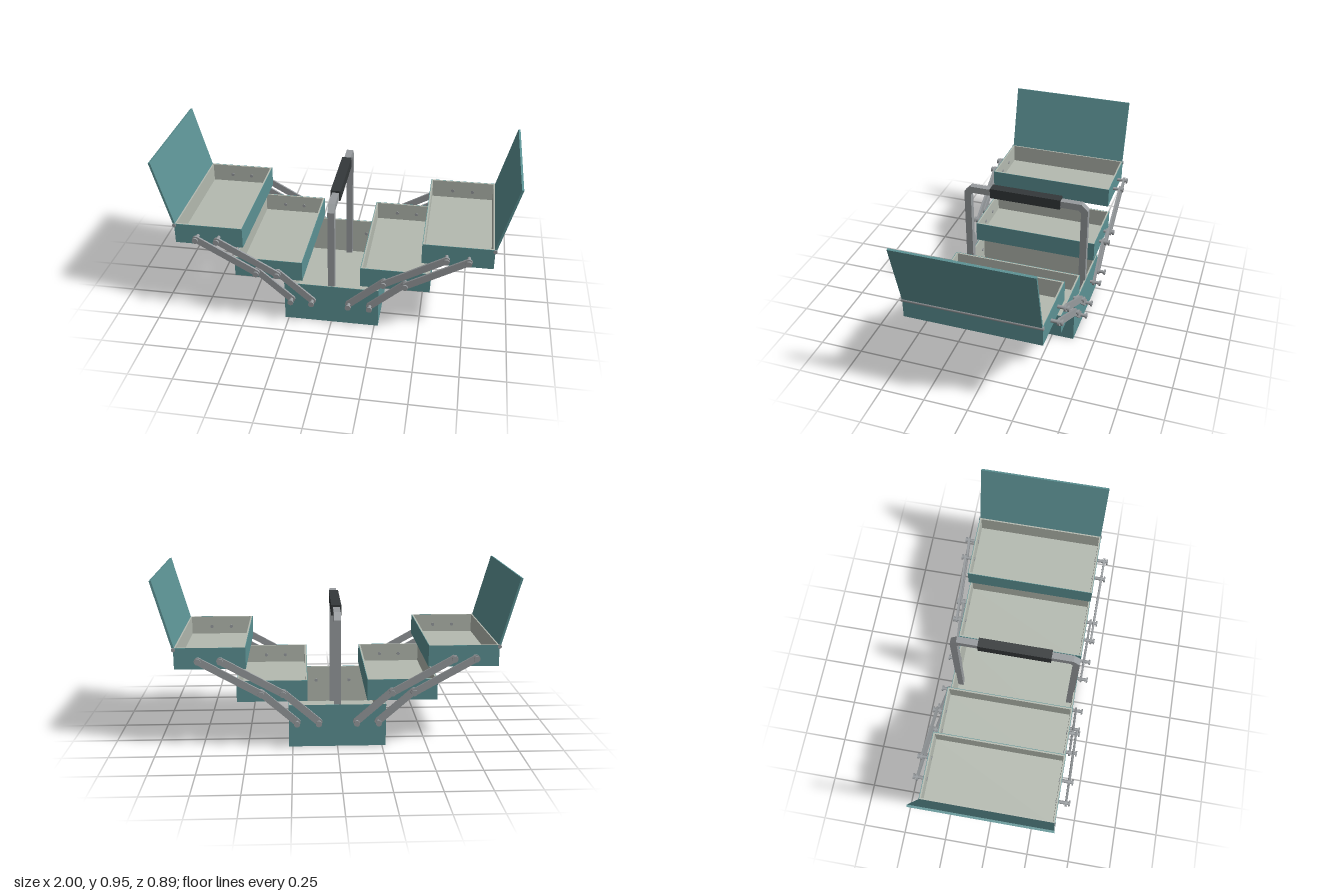
import * as THREE from 'three';

const mat = (color) => new THREE.MeshStandardMaterial({ color });
const teal = mat(0x5c9294);
const lining = mat(0xb4bab0);
const steel = mat(0x979b9e);
const rubber = mat(0x34383a);

const DEPTH = 0.756; // front-to-back size of every tray
const WALL = 0.012;

function add(parent, name, geometry, material, x = 0, y = 0, z = 0) {
  const mesh = new THREE.Mesh(geometry, material);
  mesh.name = name;
  mesh.position.set(x, y, z);
  parent.add(mesh);
  return mesh;
}

// Rectangular ring standing on y = 0
function ring(w, d, t, h) {
  const rect = (P, a, b) => new P().moveTo(-a, -b).lineTo(a, -b).lineTo(a, b).lineTo(-a, b).closePath();
  const shape = rect(THREE.Shape, w / 2, d / 2);
  shape.holes.push(rect(THREE.Path, w / 2 - t, d / 2 - t));
  return new THREE.ExtrudeGeometry(shape, { depth: h, bevelEnabled: false }).rotateX(-Math.PI / 2);
}

// Open tray: painted shell outside, pale lining and rim inside
function tray(name, x, y, w, h) {
  const g = new THREE.Group();
  g.name = name;
  g.position.set(x, y, 0);
  const skin = 0.003;
  add(g, 'shell', ring(w, DEPTH, skin, h), teal);
  add(g, 'bottom', new THREE.BoxGeometry(w - 2 * skin, 0.006, DEPTH - 2 * skin), teal, 0, 0.003);
  add(g, 'lining', ring(w - 2 * skin, DEPTH - 2 * skin, WALL - skin, h - 0.006), lining, 0, 0.006);
  add(g, 'floor', new THREE.BoxGeometry(w - 2 * WALL, 0.006, DEPTH - 2 * WALL), lining, 0, 0.009);
  return g;
}

// Flat link bar with rounded ends between two pivots
function link(a, b, sx) {
  const r = 0.02, t = 0.012;
  const dx = (b[0] - a[0]) * sx, dy = b[1] - a[1];
  const len = Math.hypot(dx, dy);
  const shape = new THREE.Shape();
  shape.absarc(0, 0, r, Math.PI / 2, Math.PI * 1.5, false);
  shape.absarc(len, 0, r, -Math.PI / 2, Math.PI / 2, false);
  return new THREE.ExtrudeGeometry(shape, { depth: t, bevelEnabled: false, curveSegments: 10 })
    .translate(0, 0, -t / 2)
    .rotateZ(Math.atan2(dy, dx))
    .translate(a[0] * sx, a[1], 0);
}

// Lidded tray pairs, hinges and linkages for one side
function wing(sx) {
  const g = new THREE.Group();
  g.name = sx > 0 ? 'leftWing' : 'rightWing';
  g.add(tray('middleTray', sx * 0.36, 0.267, 0.39, 0.12));
  g.add(tray('upperTray', sx * 0.695, 0.457, 0.39, 0.12));

  // Open lid leaning outward
  const foot = [0.891, 0.572], tip = [0.994, 0.947];
  const lid = add(g, 'lid',
    new THREE.BoxGeometry(0.012, Math.hypot(tip[0] - foot[0], tip[1] - foot[1]), 0.75), teal,
    sx * (foot[0] + tip[0]) / 2, (foot[1] + tip[1]) / 2);
  lid.rotation.z = -sx * Math.atan2(tip[0] - foot[0], tip[1] - foot[1]);
  add(g, 'hingeRod', new THREE.CylinderGeometry(0.011, 0.011, 0.764, 16).rotateX(Math.PI / 2), steel,
    sx * 0.89, 0.567);

  // Two parallel linkages on the front and on the back
  for (const sz of [1, -1]) {
    for (const shift of [0, 0.12]) {
      const pivots = [[0.105 + shift, 0.153], [0.3 + shift, 0.325], [0.635 + shift, 0.514]];
      add(g, 'lowerLink', link(pivots[0], pivots[1], sx), steel, 0, 0, sz * 0.4);
      add(g, 'upperLink', link(pivots[1], pivots[2], sx), steel, 0, 0, sz * 0.42);
      for (const [px, py] of pivots) {
        add(g, 'pivotPin', new THREE.CylinderGeometry(0.01, 0.01, 0.078, 16).rotateX(Math.PI / 2), steel,
          sx * px, py, sz * 0.401);
        add(g, 'pinHead', new THREE.CylinderGeometry(0.017, 0.017, 0.009, 16).rotateX(Math.PI / 2), steel,
          sx * px, py, sz * 0.4385);
      }
    }
  }
  return g;
}

// Square-bar handle with chamfered corners and a rubber grip
function handle() {
  const g = new THREE.Group();
  g.name = 'handle';
  const outer = [[-0.372, 0.02], [-0.372, 0.722], [-0.334, 0.76], [0.334, 0.76], [0.372, 0.722], [0.372, 0.02]];
  const inner = [[0.332, 0.02], [0.332, 0.706], [0.318, 0.72], [-0.318, 0.72], [-0.332, 0.706], [-0.332, 0.02]];
  const shape = new THREE.Shape([...outer, ...inner].map(([z, y]) => new THREE.Vector2(z, y)));
  const bar = new THREE.ExtrudeGeometry(shape, { depth: 0.038, bevelEnabled: false })
    .translate(0, 0, -0.019)
    .rotateY(Math.PI / 2);
  add(g, 'handleBar', bar, steel);
  add(g, 'grip', new THREE.BoxGeometry(0.056, 0.06, 0.42), rubber, 0, 0.741);
  return g;
}

export function createModel() {
  const model = new THREE.Group();
  model.name = 'cantileverToolbox';
  model.add(tray('baseBox', 0, 0, 0.542, 0.243));
  for (const sx of [1, -1]) model.add(wing(sx));
  model.add(handle());
  return model;
}
